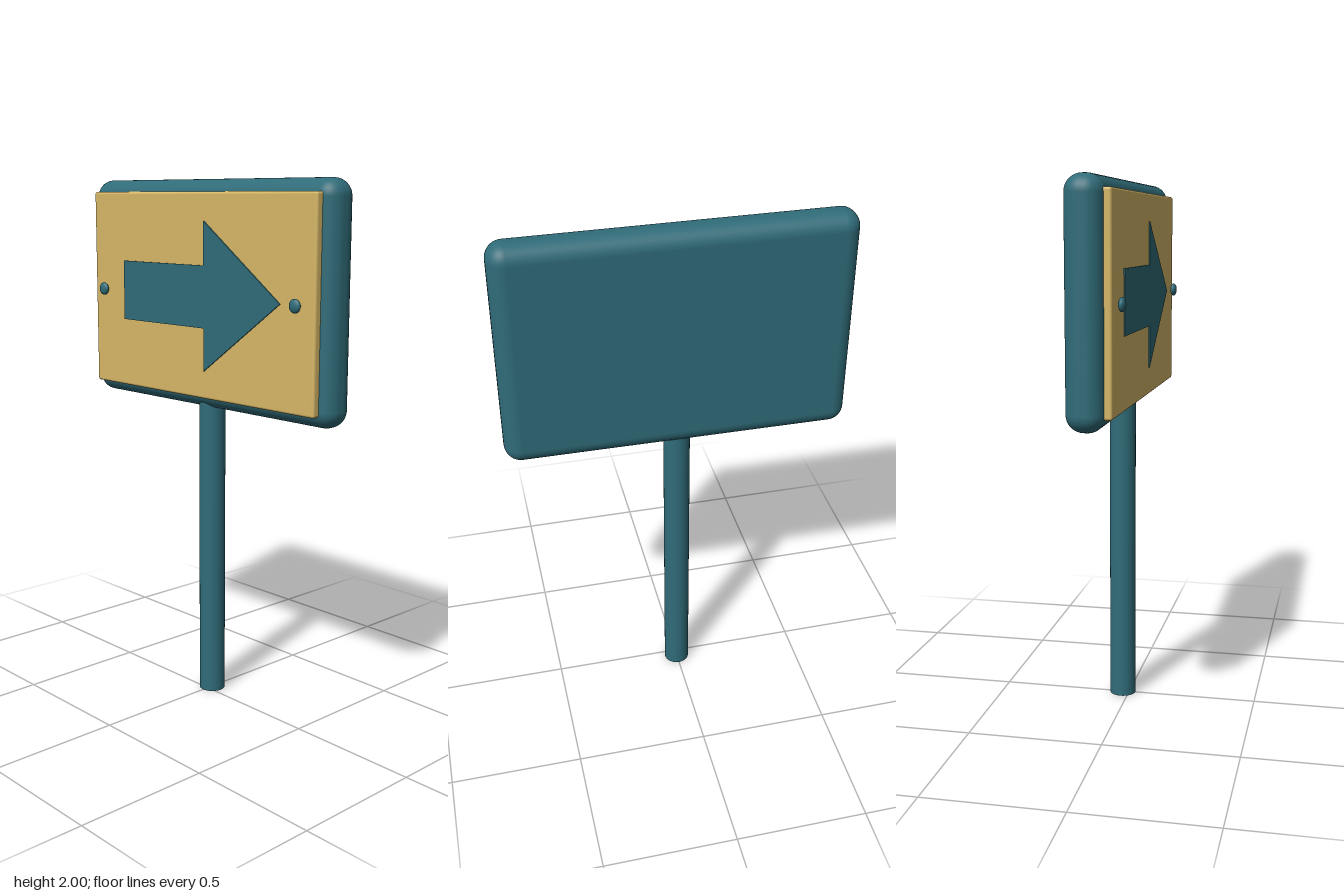
import * as THREE from 'three';
import { RoundedBoxGeometry } from 'three/addons/geometries/RoundedBoxGeometry.js';

export function createModel() {
  const group = new THREE.Group();
  const teal = new THREE.MeshStandardMaterial({ color: 0x306c79 });
  teal.name = 'teal';
  const sand = new THREE.MeshStandardMaterial({ color: 0xd8b868 });
  sand.name = 'sand';

  const add = (name, geometry, material, x, y, z) => {
    const mesh = new THREE.Mesh(geometry, material);
    mesh.name = name;
    mesh.position.set(x, y, z);
    group.add(mesh);
    return mesh;
  };

  const midY = 1.575;

  // Post, running up into the board
  add('post', new THREE.CylinderGeometry(0.05, 0.05, 1.2, 32), teal, 0, 0.6, -0.025);

  // Thick rounded board and the thin face panel on its front
  add('board', new RoundedBoxGeometry(1.29, 0.85, 0.137, 6, 0.062), teal, 0, midY, -0.0285);
  add('facePanel', new RoundedBoxGeometry(1.2, 0.76, 0.036, 4, 0.01), sand, 0, midY, 0.047);

  // Flat arrow pointing to +x
  const arrow = new THREE.Shape([
    [-0.412, -0.115], [0.052, -0.115], [0.052, -0.275], [0.44, 0],
    [0.052, 0.275], [0.052, 0.115], [-0.412, 0.115],
  ].map(([x, y]) => new THREE.Vector2(x, y)));
  add('arrow', new THREE.ExtrudeGeometry(arrow, { depth: 0.007, bevelEnabled: false }), teal, 0, midY, 0.063);

  // Flattened bolt heads either side of the arrow
  for (const [name, side] of [['leftBolt', 1], ['rightBolt', -1]]) {
    const bolt = add(name, new THREE.SphereGeometry(0.025, 24, 16), teal, side * 0.524, midY, 0.083);
    bolt.scale.z = 0.52;
  }

  return group;
}
